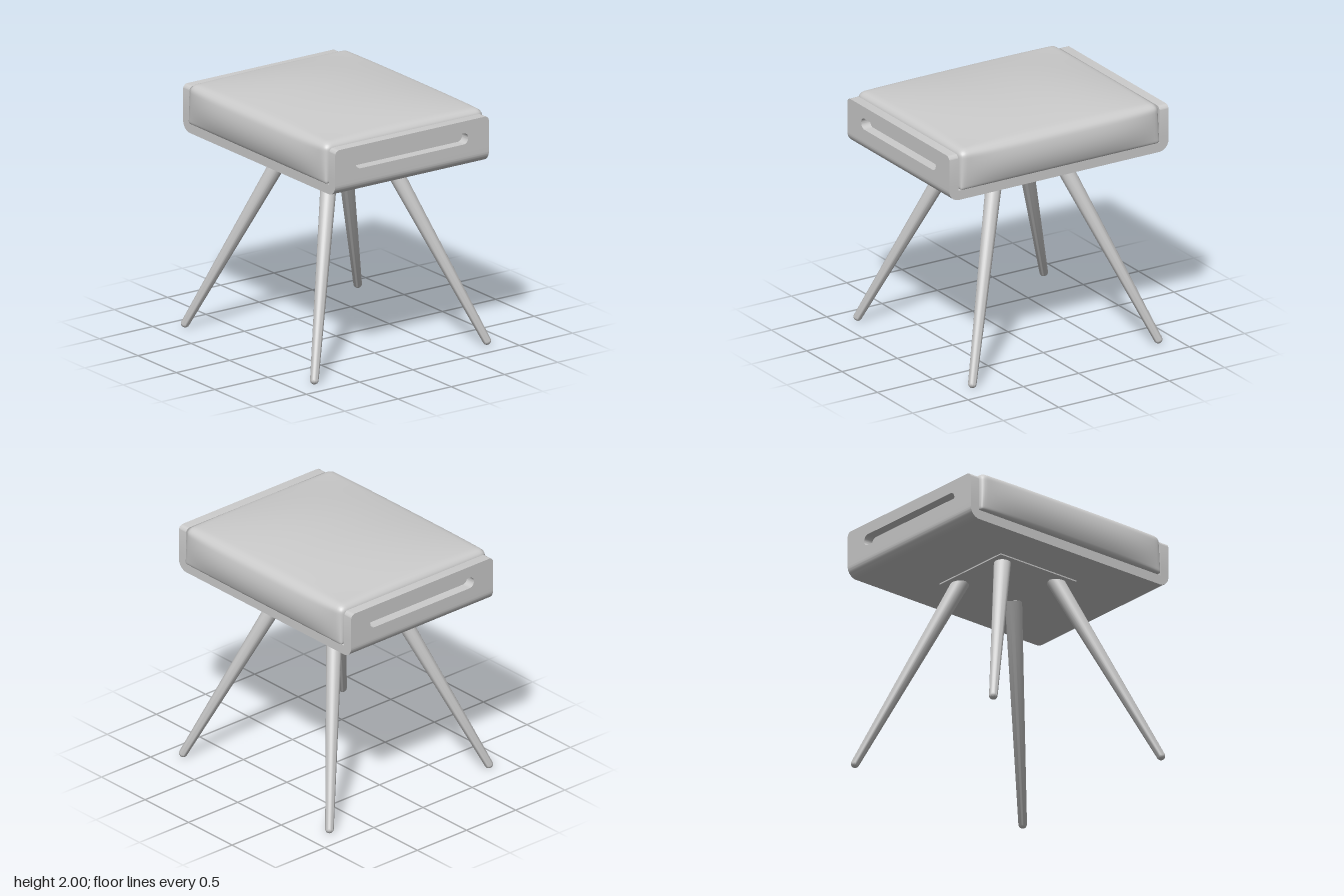
import * as THREE from 'three';
import { mergeVertices, toCreasedNormals } from 'three/addons/utils/BufferGeometryUtils.js';

const material = new THREE.MeshStandardMaterial({ color: 0xcccccc });
const HALF_X = 0.99, HALF_Z = 0.722, WALL = 0.08;
const BOTTOM = 1.53, FLOOR = 1.607, SEAM = 1.66, TOP = 1.9;

function part(name, geometry) {
  const mesh = new THREE.Mesh(geometry, material);
  mesh.name = name;
  return mesh;
}

function extrude(shape, depth) {
  const g = new THREE.ExtrudeGeometry(shape, { depth, bevelEnabled: false, curveSegments: 10 });
  return toCreasedNormals(g, 0.6);
}

// Tray floor: a shallow U with rounded lower corners, run along z
function trayFloor() {
  const r = 0.085, i = HALF_X - WALL;
  const s = new THREE.Shape();
  s.moveTo(-HALF_X, SEAM);
  s.lineTo(-HALF_X, BOTTOM + r);
  s.absarc(-HALF_X + r, BOTTOM + r, r, Math.PI, Math.PI * 1.5);
  s.lineTo(HALF_X - r, BOTTOM);
  s.absarc(HALF_X - r, BOTTOM + r, r, Math.PI * 1.5, Math.PI * 2);
  s.lineTo(HALF_X, SEAM);
  s.lineTo(i, SEAM);
  s.lineTo(i, FLOOR);
  s.lineTo(-i, FLOOR);
  s.lineTo(-i, SEAM);
  s.closePath();
  return extrude(s, HALF_Z * 2).translate(0, 0, -HALF_Z);
}

// Side wall: rounded upper corners and a long grip slot
function trayWall() {
  const r = 0.04, slotR = 0.045, slotX = 0.483, slotY = 1.76;
  const s = new THREE.Shape();
  s.moveTo(-HALF_Z, SEAM);
  s.lineTo(HALF_Z, SEAM);
  s.lineTo(HALF_Z, TOP - r);
  s.absarc(HALF_Z - r, TOP - r, r, 0, Math.PI / 2);
  s.lineTo(-HALF_Z + r, TOP);
  s.absarc(-HALF_Z + r, TOP - r, r, Math.PI / 2, Math.PI);
  s.closePath();
  const slot = new THREE.Path();
  slot.absarc(slotX, slotY, slotR, -Math.PI / 2, Math.PI / 2);
  slot.absarc(-slotX, slotY, slotR, Math.PI / 2, Math.PI * 1.5);
  slot.closePath();
  s.holes.push(slot);
  return extrude(s, WALL).rotateY(-Math.PI / 2);
}

// Cushion: a rounded block with a domed top and bulging front and back
function cushion() {
  const half = new THREE.Vector3(0.9, 0.16, 0.745), midY = 1.77;
  let g = new THREE.BoxGeometry(2, 2, 2, 36, 24, 36);
  g.deleteAttribute('uv');
  g.deleteAttribute('normal');
  g = mergeVertices(g);
  const pos = g.attributes.position;
  const p = new THREE.Vector3(), inner = new THREE.Vector3(), lim = new THREE.Vector3();
  for (let i = 0; i < pos.count; i++) {
    p.fromBufferAttribute(pos, i);
    // crowd the grid toward the edges
    p.set(...p.toArray().map(t => Math.sin(t * Math.PI / 2)));
    const v = (p.y + 1) / 2;
    const r = THREE.MathUtils.lerp(0.02, 0.06, v);
    p.multiply(half);
    lim.copy(half).subScalar(r);
    inner.copy(p).clamp(lim.clone().negate(), lim);
    p.sub(inner).setLength(r).add(inner);
    const nx = Math.min(1, Math.abs(p.x) / half.x);
    const nz = Math.min(1, Math.abs(p.z) / half.z);
    const ny = p.y / half.y;
    const dome = 0.07 * (1 - nx ** 2.6) * (1 - nz ** 2) * v;
    const bulge = 0.038 * (1 - ny * ny) * (1 - nx ** 4);
    pos.setXYZ(i, p.x, midY + p.y + dome, p.z + Math.sign(p.z) * bulge * nz ** 3);
  }
  g.computeVertexNormals();
  return g;
}

// Tapered round leg with a rounded foot, from the foot at the origin upward
function legGeometry(length) {
  const foot = 0.033, top = 0.066, pts = [];
  for (let i = 0; i <= 6; i++) {
    const a = (i / 6) * Math.PI / 2;
    pts.push(new THREE.Vector2(foot * Math.sin(a), -foot * Math.cos(a)));
  }
  pts.push(new THREE.Vector2(top, length), new THREE.Vector2(0, length));
  return toCreasedNormals(new THREE.LatheGeometry(pts, 28), 0.7);
}

export function createModel() {
  const group = new THREE.Group();
  group.name = 'stool';

  const tray = new THREE.Group();
  tray.name = 'tray';
  tray.add(part('trayFloor', trayFloor()));
  for (const [name, x] of [['leftWall', HALF_X], ['rightWall', -HALF_X + WALL]]) {
    const wall = part(name, trayWall());
    wall.position.x = x;
    tray.add(wall);
  }
  group.add(tray, part('cushion', cushion()));

  // Thin mounting plate under the tray
  const plate = part('mountingPlate', new THREE.BoxGeometry(0.76, 0.012, 0.72));
  plate.position.y = BOTTOM - 0.004;
  group.add(plate);

  // Four splayed legs
  const up = new THREE.Vector3(0, 1, 0);
  for (const sx of [1, -1]) {
    for (const sz of [1, -1]) {
      const foot = new THREE.Vector3(0.84 * sx, 0.036, 0.81 * sz);
      const dir = new THREE.Vector3(0.26 * sx, 1.54, 0.24 * sz).sub(foot);
      const name = (sz > 0 ? 'front' : 'back') + (sx > 0 ? 'Left' : 'Right') + 'Leg';
      const leg = part(name, legGeometry(dir.length()));
      leg.position.copy(foot);
      leg.quaternion.setFromUnitVectors(up, dir.normalize());
      group.add(leg);
    }
  }
  return group;
}
